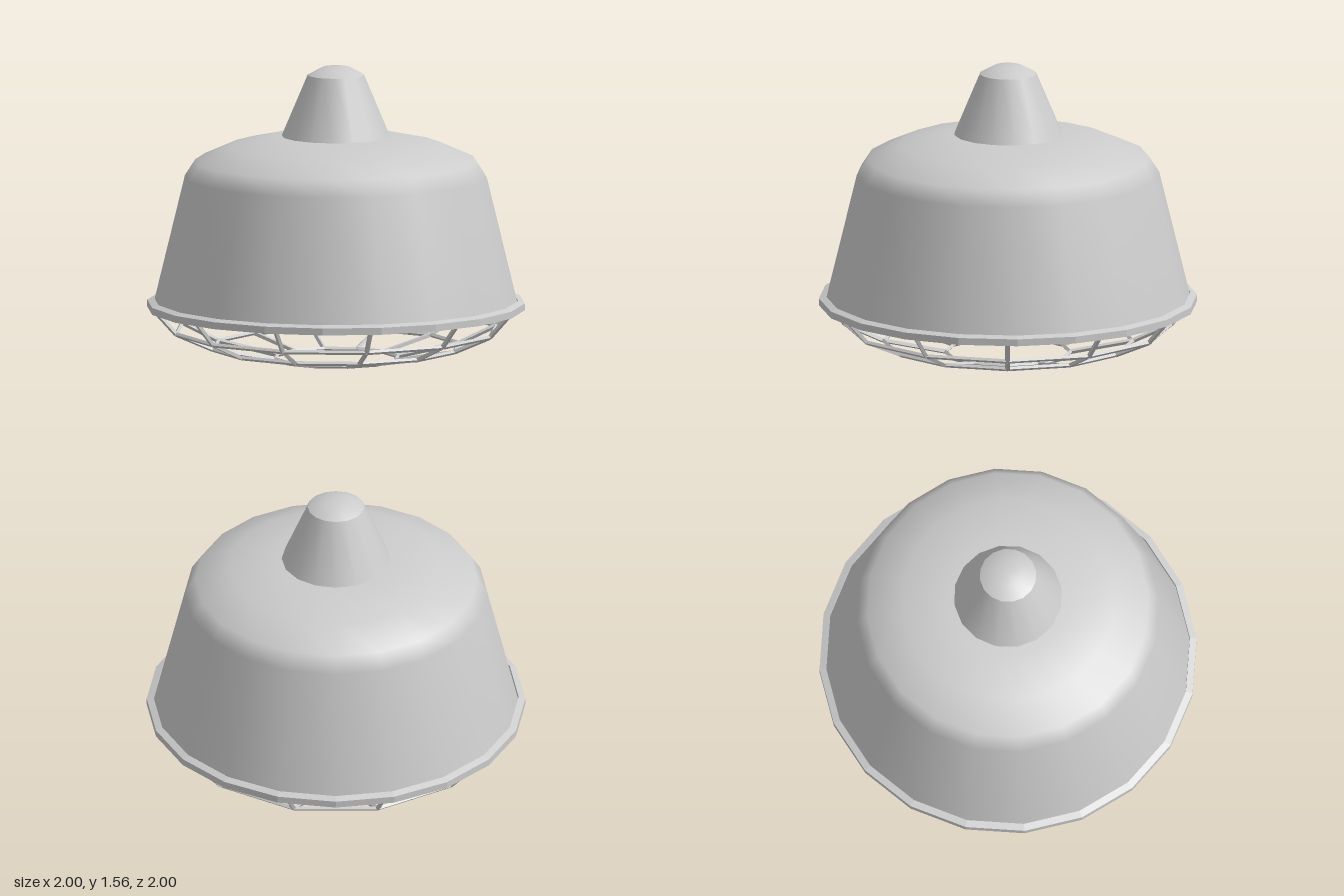
import * as THREE from 'three';

const grey = new THREE.MeshStandardMaterial({ color: 0xcccccc, side: THREE.DoubleSide });
const greyFlat = new THREE.MeshStandardMaterial({ color: 0xcccccc, flatShading: true });
const black = new THREE.MeshStandardMaterial({ color: 0x080808, flatShading: true });

function part(parent, name, geometry, material) {
  const mesh = new THREE.Mesh(geometry, material);
  mesh.name = name;
  parent.add(mesh);
  return mesh;
}

// Turned part from [radius, height] pairs, listed bottom to top
function lathe(profile, sides) {
  return new THREE.LatheGeometry(profile.map(([r, y]) => new THREE.Vector2(r, y)), sides);
}

// Thin straight rod between two points
function rod(a, b, radius) {
  const dir = b.clone().sub(a);
  const g = new THREE.CylinderGeometry(radius, radius, dir.length(), 4);
  g.applyQuaternion(new THREE.Quaternion().setFromUnitVectors(
    new THREE.Vector3(0, 1, 0), dir.normalize()));
  const mid = a.clone().add(b).multiplyScalar(0.5);
  return g.translate(mid.x, mid.y, mid.z);
}

export function createModel() {
  const lamp = new THREE.Group();
  lamp.name = 'pendantLamp';

  // Shade: flared wall with a rounded shoulder
  part(lamp, 'shade', lathe([
    [0.965, 0.3], [0.8, 0.98], [0.745, 1.065], [0.565, 1.145], [0.33, 1.197], [0, 1.197],
  ], 20), grey);

  // Rim around the open edge
  part(lamp, 'rim', lathe([
    [0.96, 0.275], [1, 0.275], [1, 0.312], [0.965, 0.325], [0.96, 0.275],
  ], 20), greyFlat);

  // Tapered neck and its shallow lid
  part(lamp, 'neck', lathe([[0.288, 1.195], [0.15, 1.522]], 16), grey);
  part(lamp, 'neckLid', lathe([[0.15, 1.522], [0.075, 1.563], [0, 1.563]], 16), grey);

  // Bulb with its socket reaching up to the shade
  part(lamp, 'bulb', lathe([
    [0, 0.18], [0.07, 0.182], [0.14, 0.205], [0.2, 0.265], [0.235, 0.36], [0.24, 0.46],
    [0.215, 0.57], [0.155, 0.7], [0.13, 0.85], [0.13, 1.19],
  ], 14), black);

  // Wire guard: twelve bent ribs tied by three rings
  const guard = new THREE.Group();
  guard.name = 'wireGuard';
  lamp.add(guard);
  const levels = [[0.33, 0.012], [0.66, 0.072], [0.86, 0.16], [0.972, 0.285]];
  const ribs = 12;
  levels.slice(0, 3).forEach(([r, y]) => {
    const ring = new THREE.TorusGeometry(r, 0.012, 4, ribs);
    ring.rotateX(Math.PI / 2).rotateY(Math.PI / ribs).translate(0, y, 0);
    part(guard, 'guardRing', ring, greyFlat);
  });
  for (let i = 0; i < ribs; i++) {
    const angle = ((i + 0.5) / ribs) * Math.PI * 2;
    const points = levels.map(([r, y]) =>
      new THREE.Vector3(r * Math.cos(angle), y, r * Math.sin(angle)));
    for (let k = 0; k < 3; k++) {
      part(guard, 'guardRib', rod(points[k], points[k + 1], 0.013), greyFlat);
    }
  }
  return lamp;
}
